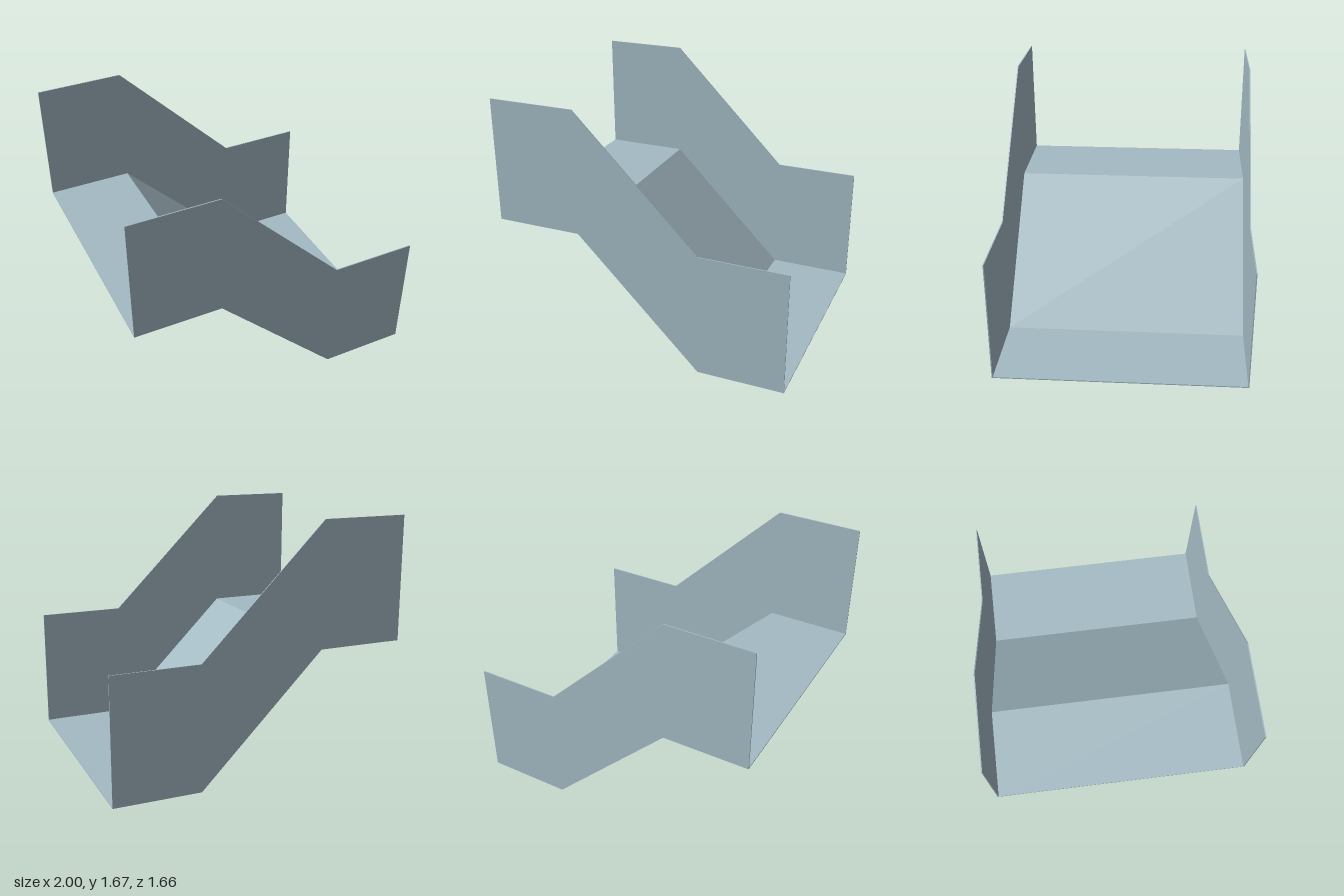
import * as THREE from 'three';

const HALF_WIDTH = 0.83, THICK = 0.007, RISE = 0.835;
const STEEL = new THREE.MeshStandardMaterial({ color: 0xa3bac3 });
STEEL.name = 'galvanised steel';

// Centre run of the channel: upper landing, 45 degree slope, lower landing
const RUN = [[-1, RISE], [-0.417, RISE], [0.417, 0], [1, 0]];

// Extrudes the band between the run and its copy raised by height
function band(name, height, depth, z) {
  const outline = [...RUN, ...RUN.map(([x, y]) => [x, y + height]).reverse()];
  const shape = new THREE.Shape(outline.map(([x, y]) => new THREE.Vector2(x, y)));
  const geometry = new THREE.ExtrudeGeometry(shape, { depth, bevelEnabled: false });
  const mesh = new THREE.Mesh(geometry, STEEL);
  mesh.name = name;
  mesh.position.z = z;
  return mesh;
}

export function createModel() {
  const group = new THREE.Group();
  group.name = 'slopedChannel';
  // Sheet floor between the two side walls
  group.add(band('floor', THICK, 2 * (HALF_WIDTH - THICK), THICK - HALF_WIDTH));
  // Tall side walls following the same run
  group.add(band('frontWall', RISE, THICK, HALF_WIDTH - THICK));
  group.add(band('backWall', RISE, THICK, -HALF_WIDTH));
  return group;
}
